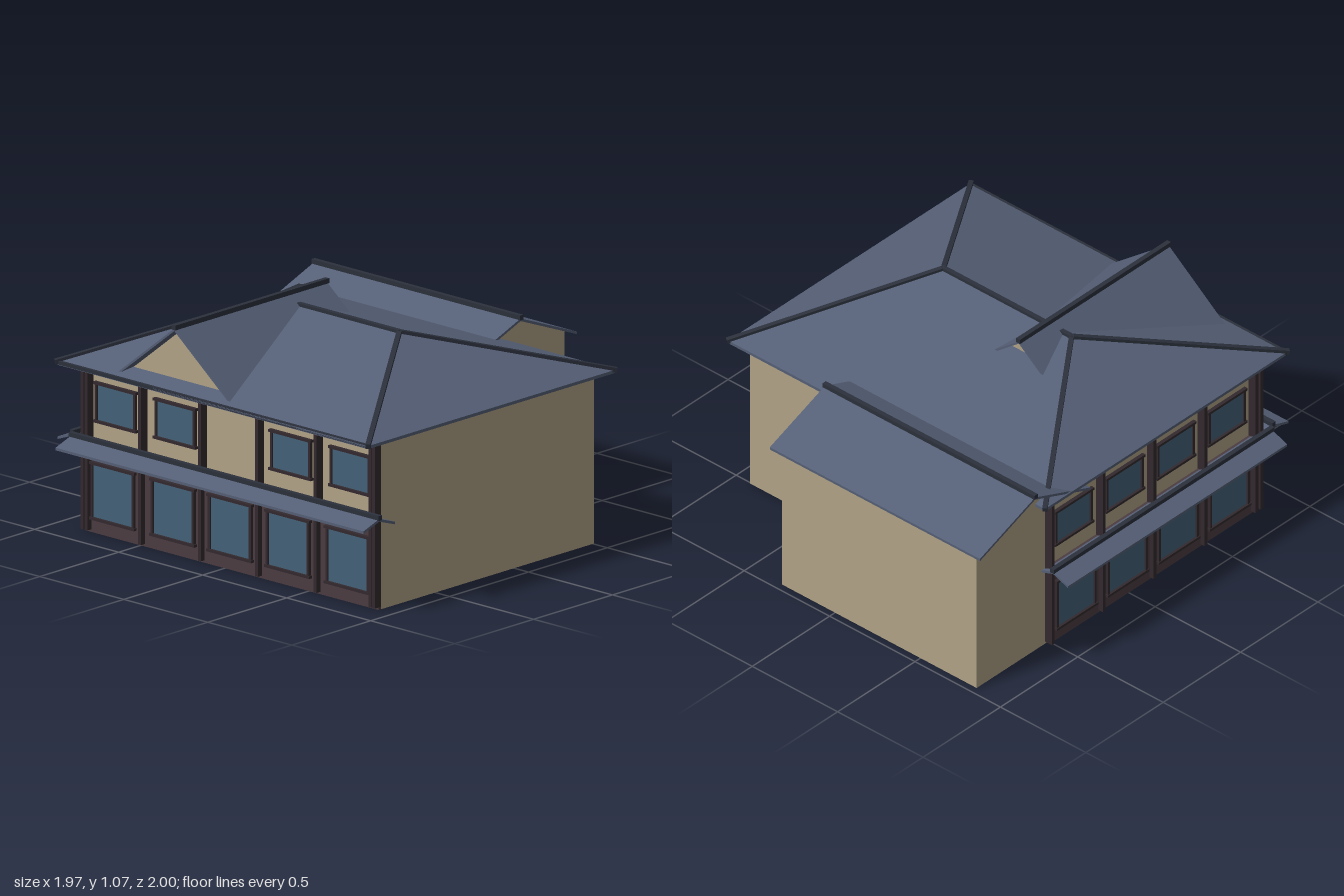
import * as THREE from 'three';

const mat = (color) => new THREE.MeshStandardMaterial({ color, flatShading: true, side: THREE.DoubleSide });
const M = {
  wall: mat(0xb0a287),
  panel: mat(0x4b3c40),
  post: mat(0x32292d),
  roof: mat(0x555f76),
  ridge: mat(0x2b303b),
  glass: mat(0x436178),
};

function add(parent, name, geometry, material) {
  const mesh = new THREE.Mesh(geometry, material);
  mesh.name = name;
  parent.add(mesh);
  return mesh;
}

// Box given by its min and max on each axis
function box(parent, name, material, x0, x1, y0, y1, z0, z1) {
  const m = add(parent, name, new THREE.BoxGeometry(x1 - x0, y1 - y0, z1 - z0), material);
  m.position.set((x0 + x1) / 2, (y0 + y1) / 2, (z0 + z1) / 2);
  return m;
}

// Square bar between two points, used for ridge caps
function bar(parent, name, a, b, size = 0.022) {
  const p = new THREE.Vector3(...a), q = new THREE.Vector3(...b);
  const m = add(parent, name, new THREE.BoxGeometry(size, size, p.distanceTo(q) + size * 0.5), M.ridge);
  m.position.copy(p).add(q).multiplyScalar(0.5);
  m.lookAt(q);
  return m;
}

// Outline in x/y pushed along z from z0 to z1
function prism(parent, name, material, pts, z0, z1) {
  const shape = new THREE.Shape(pts.map(([x, y]) => new THREE.Vector2(x, y)));
  const g = new THREE.ExtrudeGeometry(shape, { depth: z1 - z0, bevelEnabled: false });
  g.translate(0, 0, z0);
  return add(parent, name, g, material);
}

// Two-sided pitched roof running along local z, with its ridge cap
function gableRoof(parent, name, half, ridgeY, eaveY, z0, z1, t = 0.012) {
  const g = new THREE.Group();
  g.name = name;
  prism(g, 'roofSlopes', M.roof, [
    [-half, eaveY], [-half, eaveY - t], [0, ridgeY - t], [half, eaveY - t], [half, eaveY], [0, ridgeY],
  ], z0, z1);
  bar(g, 'ridgeCap', [0, ridgeY + 0.005, z0], [0, ridgeY + 0.005, z1]);
  parent.add(g);
  return g;
}

// Hipped roof: sloped faces, fascia and flat soffit
function hipRoof(parent) {
  const x0 = -0.885, x1 = 0.97, z0 = -0.585, z1 = 0.985, yb = 0.768, ye = 0.782, yr = 1.012;
  const eave = [[x0, ye, z1], [x1, ye, z1], [x1, ye, z0], [x0, ye, z0]];
  const low = eave.map(([x, , z]) => [x, yb, z]);
  const L = [-0.33, yr, 0.2], R = [0.42, yr, 0.2];
  const pos = [];
  const face = (...p) => {
    for (let i = 1; i < p.length - 1; i++) pos.push(...p[0], ...p[i], ...p[i + 1]);
  };
  const [a, b, c, d] = eave;
  face(a, b, R, L);
  face(b, c, R);
  face(c, d, L, R);
  face(d, a, L);
  for (let i = 0; i < 4; i++) {
    const j = (i + 1) % 4;
    face(low[i], low[j], eave[j], eave[i]);
  }
  face(low[3], low[2], low[1], low[0]);
  const g = new THREE.BufferGeometry();
  g.setAttribute('position', new THREE.Float32BufferAttribute(pos, 3));
  g.computeVertexNormals();
  add(parent, 'mainRoof', g, M.roof);
  bar(parent, 'mainRidge', L, R);
  for (const [p, q] of [[a, L], [d, L], [b, R], [c, R]]) bar(parent, 'hipRidge', p, q);
  bar(parent, 'frontEaveTrim', [x0, ye - 0.004, z1 - 0.008], [x1, ye - 0.004, z1 - 0.008], 0.016);
}

// Framed window on a facade plane, w is the plane's distance
function windowUnit(parent, u0, u1, y0, y1, w) {
  const g = new THREE.Group();
  g.name = 'window';
  const f = 0.006;
  box(g, 'glass', M.glass, u0, u1, y0, y1, w, w + 0.006);
  for (const u of [u0, u1]) box(g, 'frameSide', M.post, u - f, u + f, y0, y1, w, w + 0.014);
  for (const y of [y0, y1]) box(g, 'frameRail', M.post, u0 - 0.012, u1 + 0.012, y - f, y + f, w, w + 0.018);
  parent.add(g);
}

// Shopfront-style wall: dark lower panel, posts and two rows of windows
function facade(parent, name, u0, u1, w, posts, lower, upper) {
  const g = new THREE.Group();
  g.name = name;
  box(g, 'lowerPanel', M.panel, u0, u1, 0, 0.41, w - 0.01, w + 0.015);
  box(g, 'topBand', M.post, u0, u1, 0.75, 0.768, w - 0.01, w + 0.025);
  for (const u of posts) box(g, 'post', M.post, u - 0.009, u + 0.009, 0.012, 0.765, w, w + 0.04);
  for (const c of lower) windowUnit(g, c - 0.122, c + 0.122, 0.068, 0.319, w + 0.015);
  for (const c of upper) windowUnit(g, c - 0.114, c + 0.114, 0.507, 0.68, w);
  parent.add(g);
  return g;
}

export function createModel() {
  const house = new THREE.Group();
  house.name = 'house';

  // Main block and its roof
  box(house, 'mainWalls', M.wall, -0.83, 0.915, 0, 0.775, -0.505, 0.845);
  hipRoof(house);

  // Front and left-hand window walls
  facade(house, 'frontFacade', -0.83, 0.915, 0.845,
    [-0.825, -0.803, -0.483, -0.128, 0.212, 0.562, 0.888, 0.908],
    [-0.658, -0.3, 0.04, 0.385, 0.74], [-0.655, -0.3, 0.387, 0.742]);
  const bays = [-0.35, -0.02, 0.31, 0.64];
  const side = facade(house, 'sideFacade', -0.505, 0.845, 0.83,
    [-0.515, -0.186, 0.143, 0.472, 0.801, 0.835], bays, bays);
  side.rotation.y = -Math.PI / 2;

  // Small pitched awnings between the floors
  const frontAwning = gableRoof(house, 'frontAwning', 0.1, 0.43, 0.396, -0.875, 0.957);
  frontAwning.rotation.y = Math.PI / 2;
  frontAwning.position.z = 0.9;
  const sideAwning = gableRoof(house, 'sideAwning', 0.09, 0.43, 0.396, -0.545, 0.87);
  sideAwning.position.x = -0.895;

  // Cross gable rising through the main roof
  const gable = gableRoof(house, 'crossGableRoof', 0.338, 1.058, 0.79, -0.025, 0.94);
  gable.position.x = -0.225;
  prism(gable, 'gableWall', M.wall, [[-0.32, 0.79], [0.32, 0.79], [0, 1.044]], 0.03, 0.885);

  // Rear wing, built along z and turned to run along x
  const wing = new THREE.Group();
  wing.name = 'rearWing';
  prism(wing, 'wingWalls', M.wall,
    [[-0.3, 0], [0.322, 0], [0.322, 0.737], [0, 0.862], [-0.3, 0.745]], -0.829, 0.31);
  gableRoof(wing, 'wingRoof', 0.357, 0.873, 0.735, -0.88, 0.35);
  wing.rotation.y = Math.PI / 2;
  wing.position.z = -0.643;
  house.add(wing);

  return house;
}
